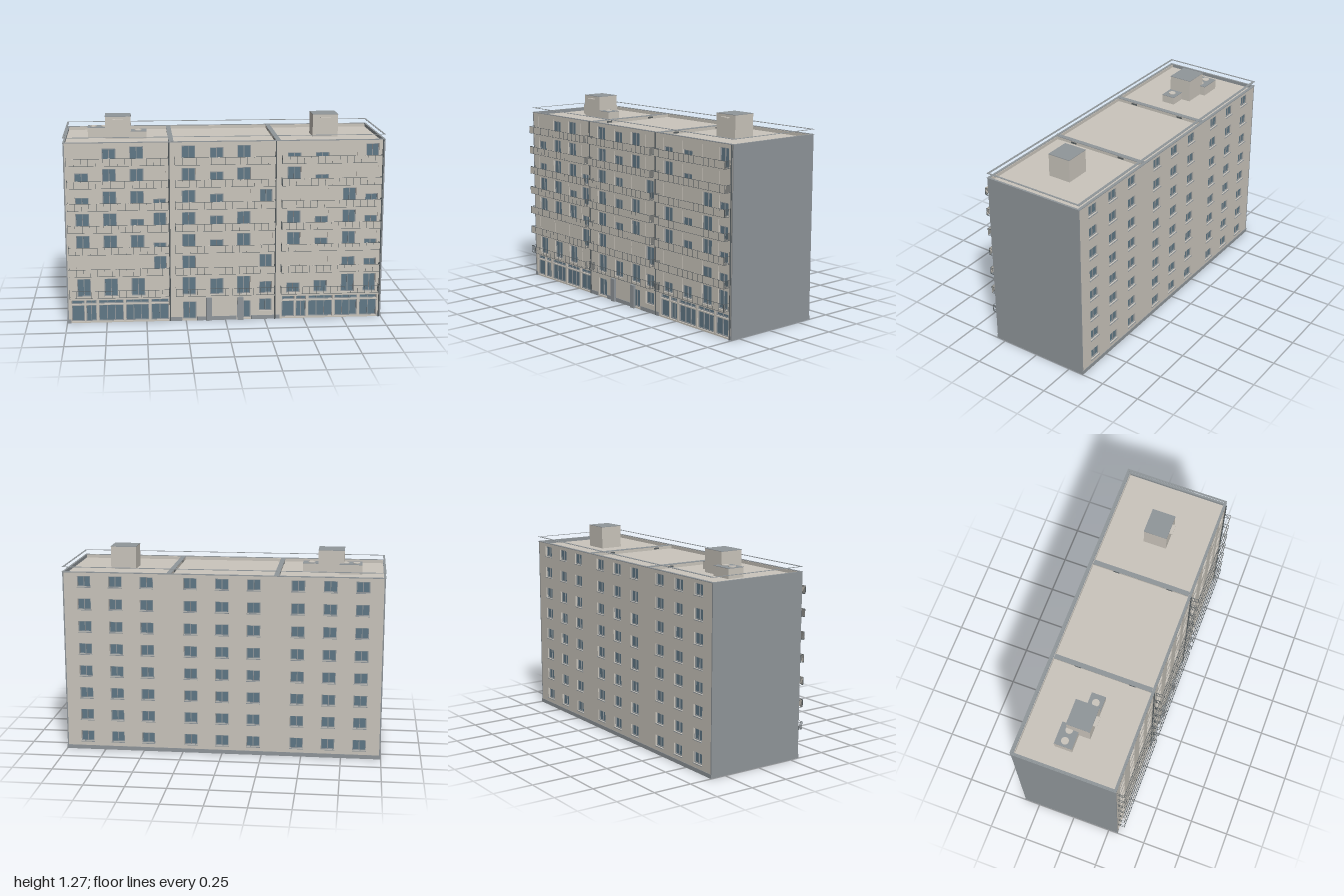
import * as THREE from 'three';
import { mergeGeometries } from 'three/addons/utils/BufferGeometryUtils.js';

const mat = (name, color) => {
  const m = new THREE.MeshStandardMaterial({ color, side: THREE.DoubleSide });
  m.name = name;
  return m;
};

export function createModel() {
  const group = new THREE.Group();
  const wall = mat('beige render', 0xcac5bc);
  const grey = mat('grey concrete', 0x90969a);
  const glass = mat('blue glass', 0x607886);
  const metal = mat('dark metal', 0x5a6164);

  // Parts collect boxes and become one mesh each
  const parts = new Map();
  const put = (name, material, geo) => {
    if (!parts.has(name)) parts.set(name, { material, geos: [] });
    parts.get(name).geos.push(geo);
  };
  const box = (name, material, x0, x1, y0, y1, z0, z1) =>
    put(name, material, new THREE.BoxGeometry(x1 - x0, y1 - y0, z1 - z0)
      .translate((x0 + x1) / 2, (y0 + y1) / 2, (z0 + z1) / 2));

  const H = 1.15, FRONT = 0.31, BACK = -0.35, ROOF = 1.13, T = 0.016;

  // Opening with frame, panes and a rolled-down shutter; s = +1 front, -1 back
  const opening = (holes, s, x0, x1, y0, y1, panes = 2, open = 1) => {
    const p = new THREE.Path();
    p.moveTo(x0, y0).lineTo(x0, y1).lineTo(x1, y1).lineTo(x1, y0).closePath();
    holes.push(p);
    const z = s > 0 ? FRONT : BACK;
    const slab = (name, m, a, b, c, d, in0, in1) =>
      box(name, m, a, b, c, d, Math.min(z - s * in0, z - s * in1), Math.max(z - s * in0, z - s * in1));
    const side = s > 0 ? 'front' : 'back', f = 0.005;
    const top = y0 + (y1 - y0) * open;
    slab(side + 'Glass', glass, x0, x1, y0, y1, 0.014, 0.0165);
    if (open < 1) slab('rollerShutters', wall, x0, x1, top, y1, 0.004, 0.008);
    if (open === 0) return;
    for (let i = 0; i <= panes; i++) {
      const c = x0 + f / 2 + (x1 - x0 - f) * i / panes;
      slab(side + 'WindowFrames', grey, c - f / 2, c + f / 2, y0, top, 0.009, 0.014);
    }
    for (const y of [y0, top - f]) slab(side + 'WindowFrames', grey, x0, x1, y, y + f, 0.009, 0.014);
  };

  const facade = (name, holes, z) => {
    const s = new THREE.Shape();
    s.moveTo(-0.99, 0).lineTo(0.99, 0).lineTo(0.99, H).lineTo(-0.99, H).closePath();
    s.holes = holes;
    put(name, wall, new THREE.ExtrudeGeometry(s, { depth: T, bevelEnabled: false }).translate(0, 0, z));
  };

  // Front windows: one digit per window, how far its shutter is raised (0 = shut)
  const columns = [-0.89, -0.72, -0.55, -0.41, -0.23, -0.055, 0.115, 0.255, 0.43, 0.605, 0.78, 0.92];
  const rows = ['999098965699', '001990091076', '999596909695', '996997909696',
    '699597090096', '799097909500', '089098905509'];
  const frontHoles = [];
  rows.forEach((row, r) => columns.forEach((x, c) => {
    const w = c % 4 === 3 ? 0.04 : 0.0425, y = 0.17 + 0.14 * r;
    opening(frontHoles, 1, x - w, x + w, y, y + 0.117, 2, Number(row[c]) / 9);
  }));

  // Shop fronts: display panes with transom lights above
  for (const x of [-0.98, 0.35]) {
    for (const [a, b, n] of [[0.01, 0.09, 1], [0.1, 0.165, 2], [0.18, 0.335, 3], [0.35, 0.495, 3], [0.51, 0.62, 2]]) {
      opening(frontHoles, 1, x + a, x + b, 0.01, 0.116, n);
      opening(frontHoles, 1, x + a, x + b, 0.124, 0.148, n);
    }
  }
  // Entrance doors, small window and upright entrance slabs
  opening(frontHoles, 1, -0.27, -0.185, 0.01, 0.125);
  opening(frontHoles, 1, 0.075, 0.16, 0.01, 0.125);
  opening(frontHoles, 1, 0.215, 0.295, 0.055, 0.135);
  for (const x of [-0.105, 0.095]) box('entranceSlabs', grey, x - 0.018, x + 0.018, 0, 0.15, FRONT, 0.326);
  facade('frontWall', frontHoles, FRONT - T);
  for (const [a, b] of [[-1, -0.975], [-0.355, -0.275], [-0.18, 0.07], [0.165, 0.345], [0.975, 1]])
    box('frontPlinth', grey, a, b, 0, 0.025, FRONT, FRONT + 0.003);

  // Back windows with sills
  const backHoles = [];
  for (const bay of [-0.667, 0, 0.667]) for (const dx of [-0.197, 0, 0.197]) for (let r = 0; r < 8; r++) {
    const x = bay + dx, y = 0.052 + 0.1437 * r;
    opening(backHoles, -1, x - 0.042, x + 0.042, y, y + 0.07);
    box('backSills', grey, x - 0.044, x + 0.044, y - 0.004, y, BACK - 0.004, BACK);
  }
  facade('backWall', backHoles, BACK);
  box('backPlinth', grey, -1, 1, 0, 0.025, BACK - 0.003, BACK);

  // Gable walls, roof deck, parapet caps and dividers
  for (const s of [-1, 1]) {
    const a = s * 0.99, b = s * 0.998;
    box('gableWalls', grey, Math.min(a, b), Math.max(a, b), 0, H, BACK, FRONT);
  }
  box('roofDeck', wall, -0.99, 0.99, ROOF - 0.005, ROOF, BACK + T, FRONT - T);
  const ring = (name, y, w, t) => {
    box(name, grey, -1, 1, y - t, y, FRONT - w, FRONT + 0.002);
    box(name, grey, -1, 1, y - t, y, BACK - 0.005, BACK + w);
    for (const x of [-1, 1 - w]) box(name, grey, x, x + w, y - t, y, BACK + w, FRONT - w);
  };
  ring('parapetCap', H + 0.003, 0.013, 0.004);
  ring('roofRail', 1.183, 0.012, 0.002);
  for (const x of [-0.335, 0.33]) {
    box('roofDividers', wall, x - 0.012, x + 0.012, ROOF, H, BACK + T, FRONT - T);
    box('dividerCaps', grey, x - 0.015, x + 0.015, H, H + 0.003, BACK + T, FRONT - T);
    for (const z of [-0.2, 0.15]) box('dividerVents', metal, x - 0.014, x + 0.014, 1.134, 1.145, z, z + 0.04);
  }

  // Balconies: seven floors in three bays, lowest one open, the others panelled
  const Z = 0.354;
  for (const [a, b] of [[-0.98, -0.355], [-0.315, 0.31], [0.35, 0.975]]) for (let r = 0; r < 7; r++) {
    const y0 = 0.172 + 0.14 * r, y1 = y0 + 0.048;
    if (r) box('balconyPanels', wall, a, b, y0, y1, Z - 0.001, Z);
    for (const y of [y0, y1 - 0.002]) {
      box('balconyRails', metal, a, b, y, y + 0.002, Z - 0.001, Z + 0.001);
      for (const x of [a, b - 0.002]) box('balconyRails', metal, x, x + 0.002, y, y + 0.002, FRONT, Z);
    }
    for (let i = 0; i <= 14; i++) {
      const x = a + (b - a - 0.002) * i / 14;
      box('balconyBars', metal, x, x + 0.002, y0, y1, Z - 0.001, Z + 0.001);
    }
    for (const x of [a, b - 0.002]) for (let i = 0; i < 6; i++) {
      const z = FRONT + 0.004 + i * 0.0075;
      box('balconyBars', metal, x, x + 0.002, y0, y1, z, z + 0.001);
    }
  }

  // Drainpipes
  for (const x of [-0.35, 0.315, 0.985])
    put('drainpipes', metal, new THREE.CylinderGeometry(0.004, 0.004, H, 8).translate(x, H / 2, FRONT + 0.004));

  // Rooftop stair houses with canopy, and low vent boxes with round lids
  const roofBox = (name, x0, x1, top, z0, z1) => {
    box(name + 'Walls', wall, x0, x1, ROOF, top - 0.003, z0, z1);
    box(name + 'Tops', grey, x0 - 0.001, x1 + 0.001, top - 0.003, top, z0 - 0.001, z1 + 0.001);
  };
  for (const x of [-0.662, 0.66]) {
    roofBox('stairHouse', x - 0.081, x + 0.081, 1.275, -0.095, 0.053);
    box('stairHouseCanopies', wall, x - 0.032, x + 0.032, 1.252, 1.257, 0.053, 0.076);
  }
  roofBox('ventBox', -0.855, -0.715, 1.193, -0.131, -0.02);
  roofBox('ventBox', -0.582, -0.482, 1.18, -0.035, 0.053);
  for (const [x, y, z] of [[-0.82, 1.193, -0.075], [-0.75, 1.193, -0.075], [-0.535, 1.18, 0.01]])
    put('ventLids', wall, new THREE.CylinderGeometry(0.023, 0.023, 0.004, 20).translate(x, y + 0.002, z));

  for (const [name, { material, geos }] of parts) {
    const mesh = new THREE.Mesh(geos.length > 1 ? mergeGeometries(geos) : geos[0], material);
    mesh.name = name;
    group.add(mesh);
  }
  return group;
}
